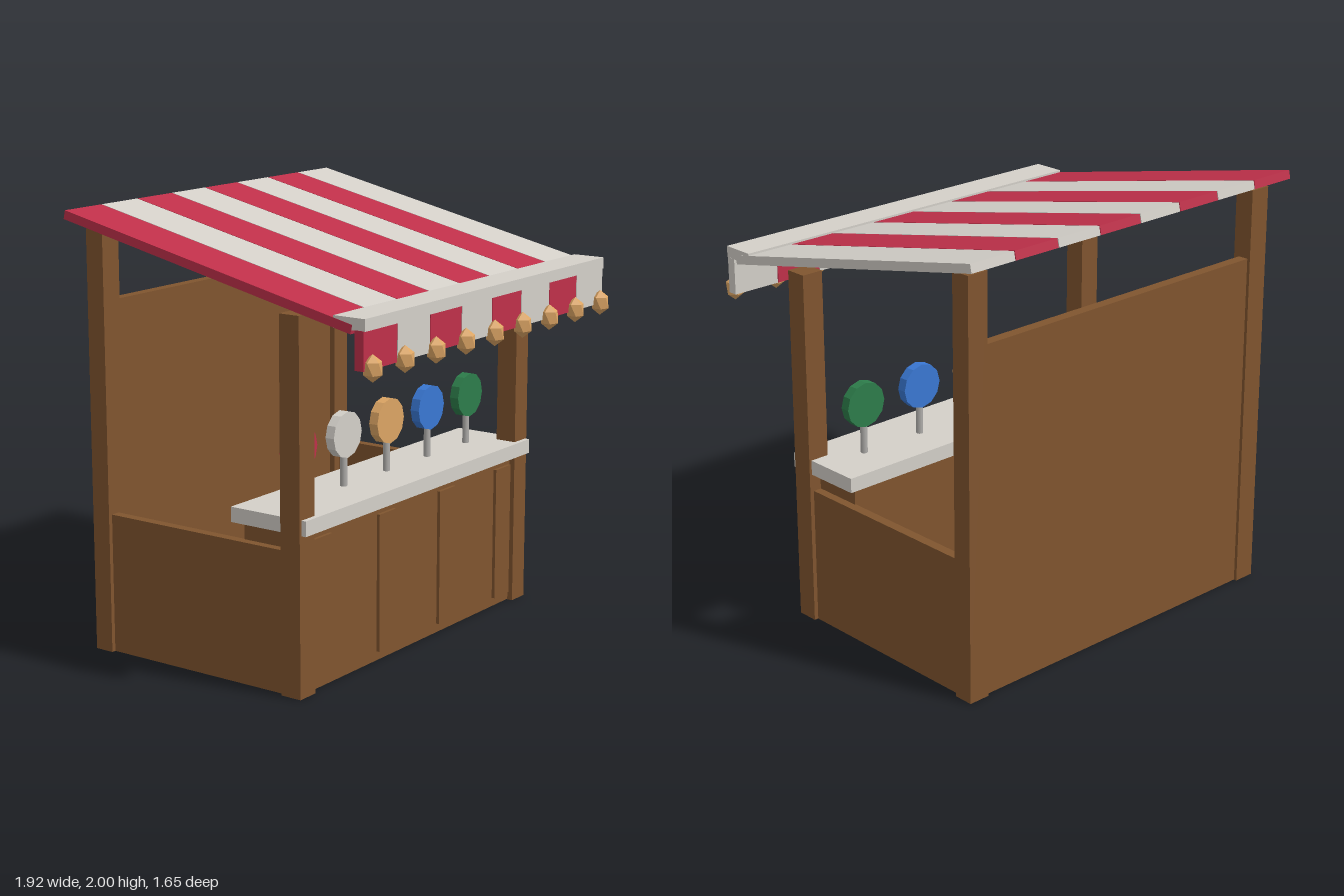
import * as THREE from 'three';

const mat = (name, color) => {
  const m = new THREE.MeshStandardMaterial({ color });
  m.name = name;
  return m;
};

export function createModel() {
  const wood = mat('wood', 0x80552f);
  const cream = mat('cream', 0xd4d0c9);
  const red = mat('red', 0xc0304a);
  const gold = mat('gold', 0xdca564);
  const blue = mat('blue', 0x3a78d4);
  const green = mat('green', 0x2d7d4b);
  const metal = mat('metal', 0xb0aeab);
  gold.flatShading = true;

  const stall = new THREE.Group();
  stall.name = 'marketStall';

  const add = (name, geometry, material, x = 0, y = 0, z = 0) => {
    const mesh = new THREE.Mesh(geometry, material);
    mesh.name = name;
    mesh.position.set(x, y, z);
    stall.add(mesh);
    return mesh;
  };
  // Box given by its lower and upper limits on each axis
  const box = (name, material, x0, x1, y0, y1, z0, z1) =>
    add(name, new THREE.BoxGeometry(x1 - x0, y1 - y0, z1 - z0), material,
      (x0 + x1) / 2, (y0 + y1) / 2, (z0 + z1) / 2);

  // Corner posts and low side walls
  for (const s of [-1, 1]) {
    const side = s < 0 ? 'right' : 'left';
    const span = (a, b) => (s < 0 ? [-b, -a] : [a, b]);
    box(side + 'FrontPost', wood, ...span(0.8, 0.905), 0, 1.66, 0.31, 0.412);
    box(side + 'BackPost', wood, ...span(0.8, 0.905), 0, 1.92, -0.745, -0.652);
    box(side + 'Wall', wood, ...span(0.84, 0.885), 0, 0.64, -0.66, 0.32);
  }

  // Back wall, counter base and worktop
  box('backWall', wood, -0.81, 0.81, 0, 1.6, -0.73, -0.68);
  box('counterBase', wood, -0.845, 0.845, 0.003, 0.72, 0.07, 0.385);
  box('counterTop', cream, -0.893, 0.893, 0.722, 0.79, 0.035, 0.435);

  // Vertical battens on the counter front
  for (let i = 0; i < 4; i++) {
    const x = -0.722 + i * 0.481;
    box('batten', wood, x - 0.064, x + 0.064, 0.045, 0.68, 0.38, 0.4);
  }

  // Striped sloping awning with a matching hanging valance
  const tilt = 0.215;
  for (let i = 0; i < 8; i++) {
    const x = -0.84 + i * 0.24;
    const colour = i % 2 ? cream : red;
    const strip = add('awningStrip', new THREE.BoxGeometry(0.236, 0.04, 1.571), colour, x, 1.813, -0.053);
    strip.rotation.x = tilt;
    box('valancePanel', colour, x - 0.118, x + 0.118, 1.48, 1.645, 0.73, 0.775);
  }
  box('awningFrontBar', cream, -0.957, 0.957, 1.643, 1.695, 0.625, 0.78);

  // Faceted hanging ornaments with a point at top and bottom
  const bauble = new THREE.IcosahedronGeometry(0.045, 0);
  bauble.rotateZ(Math.PI / 2 - Math.atan((1 + Math.sqrt(5)) / 2));
  bauble.scale(1, 1.3, 1);
  for (let i = 0; i < 9; i++) {
    add('ornament', bauble, gold, -0.916 + i * 0.229, 1.49, 0.79);
  }

  // Round lollipops on sticks
  const disc = new THREE.CylinderGeometry(0.105, 0.105, 0.045, 12).toNonIndexed();
  disc.rotateX(Math.PI / 2);
  disc.computeVertexNormals();
  const stick = new THREE.CylinderGeometry(0.016, 0.016, 0.17, 8);
  [red, cream, gold, blue, green].forEach((colour, i) => {
    const x = -0.66 + i * 0.33;
    add('lollipopDisc', disc, colour, x, 1.025, 0.223);
    add('lollipopStick', stick, metal, x, 0.865, 0.223);
  });

  return stall;
}
